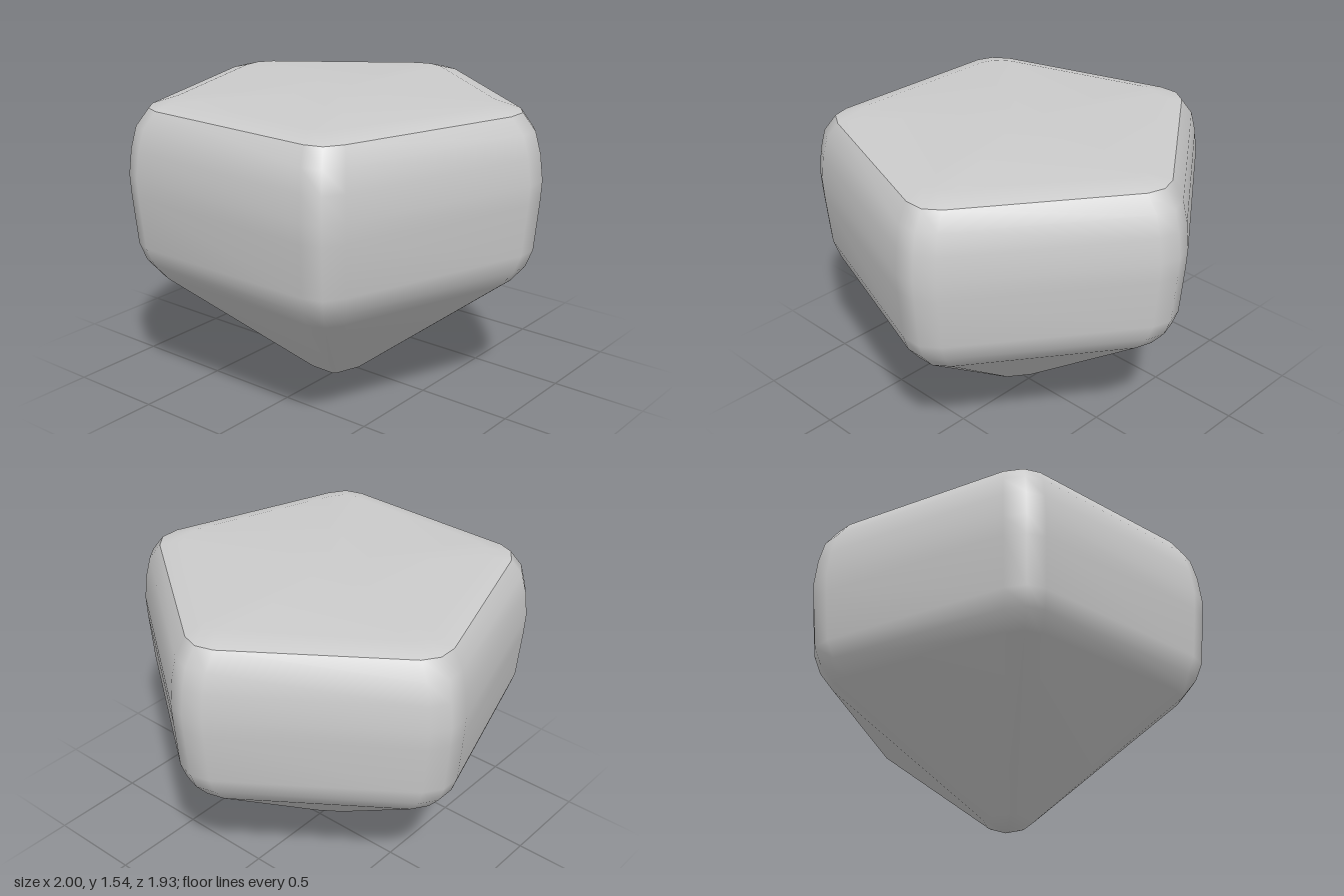
import * as THREE from 'three';
import { mergeVertices } from 'three/addons/utils/BufferGeometryUtils.js';

const CENTRE_Z = 0.08;

// Pentagon outline with three points per rounded corner, [x, z] at the girdle
const OUTLINE = [
  [0.935, -0.33], [1.0, -0.245], [1.0, -0.13],
  [0.66, 0.84], [0.6, 0.935], [0.5, 0.965],
  [-0.54, 0.955], [-0.63, 0.92], [-0.695, 0.83],
  [-1.0, -0.14], [-1.0, -0.25], [-0.94, -0.34],
  [-0.1, -0.94], [0, -0.97], [0.1, -0.94],
];

// Skins scaled copies of the outline; each ring is [scale, y, zShift], top to bottom
function skinRings(rings) {
  const n = OUTLINE.length;
  const positions = [];
  const index = [];
  for (const [scale, y, shift = 0] of rings) {
    for (const [x, z] of OUTLINE) {
      positions.push(x * scale, y, CENTRE_Z + shift + (z - CENTRE_Z) * scale);
    }
  }
  for (let i = 0; i < rings.length - 1; i++) {
    for (let j = 0; j < n; j++) {
      const a = i * n + j;
      const b = i * n + (j + 1) % n;
      const c = a + n;
      const d = b + n;
      if (rings[i][0] > 0) index.push(a, b, c);
      if (rings[i + 1][0] > 0) index.push(b, d, c);
    }
  }
  const geometry = new THREE.BufferGeometry();
  geometry.setAttribute('position', new THREE.Float32BufferAttribute(positions, 3));
  geometry.setIndex(index);
  const merged = mergeVertices(geometry);
  merged.computeVertexNormals();
  return merged;
}

export function createModel() {
  const group = new THREE.Group();
  group.name = 'gem';
  const material = new THREE.MeshStandardMaterial({ color: 0xcccccc });

  const addPart = (name, rings) => {
    const mesh = new THREE.Mesh(skinRings(rings), material);
    mesh.name = name;
    group.add(mesh);
  };

  // Flat top with a shallow sloping rim
  addPart('table', [[0, 1.54], [0.77, 1.54], [0.895, 1.505]]);

  // Rounded girdle tapering to a blunt point
  addPart('body', [
    [0.895, 1.505], [0.957, 1.42], [0.985, 1.31], [1, 1.18], [0.995, 1.08],
    [0.973, 0.82], [0.94, 0.73], [0.872, 0.645],
    [0.13, 0.05, 0.02], [0, 0, 0],
  ]);

  return group;
}
